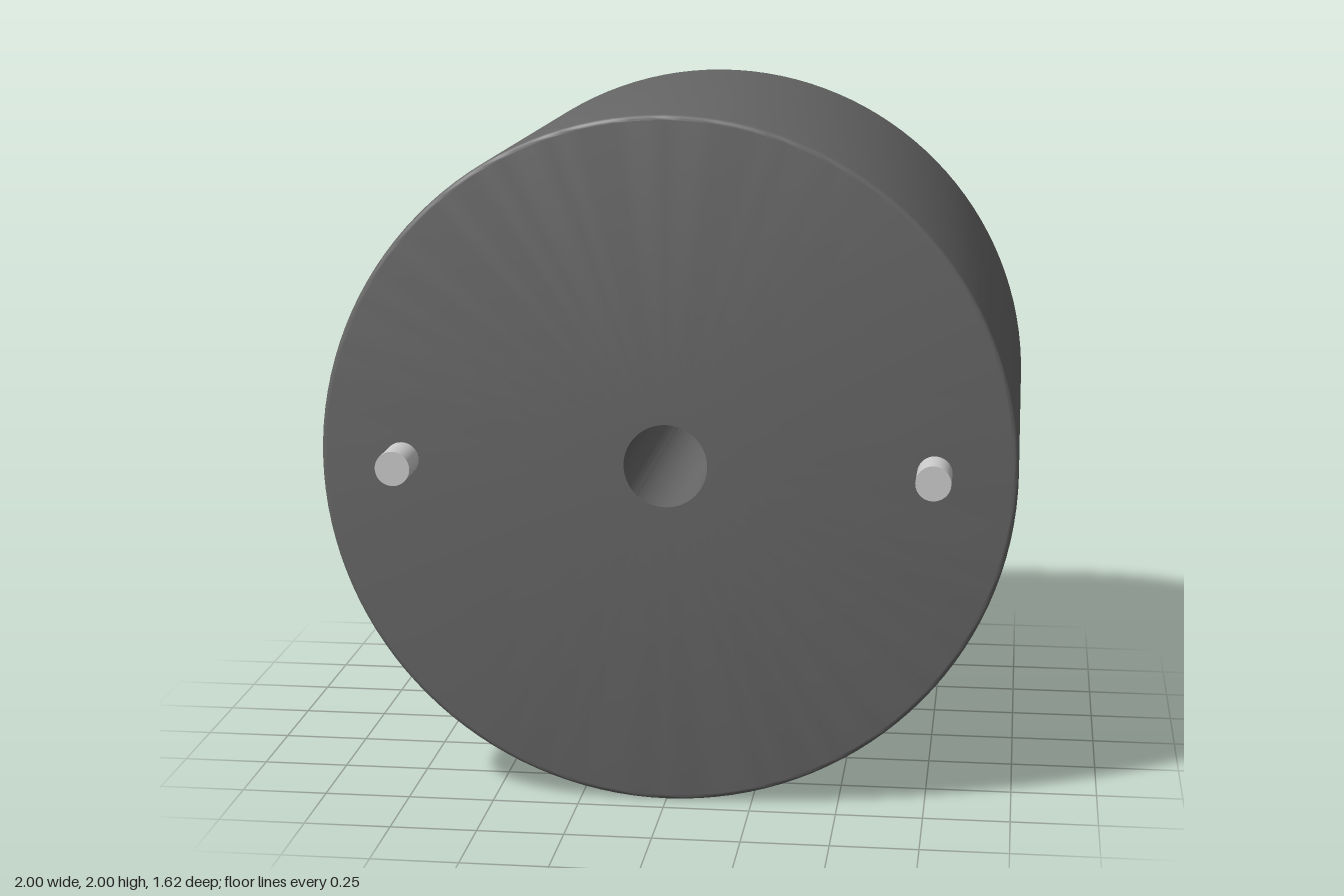
import * as THREE from 'three';
import { toCreasedNormals } from 'three/addons/utils/BufferGeometryUtils.js';

const BACK = -0.81, FRONT = 0.685, TIP = 0.81;
const RADIUS = 1, BORE = 0.12, FILLET = 0.015;

// Quarter-circle of profile points around (cx, cy), from angle a0 onwards
function fillet(cx, cy, a0, r = FILLET, steps = 4) {
  return Array.from({ length: steps + 1 }, (_, i) => {
    const a = a0 + (i / steps) * Math.PI / 2;
    return new THREE.Vector2(cx + r * Math.cos(a), cy + r * Math.sin(a));
  });
}

export function createModel() {
  const model = new THREE.Group();
  const darkGrey = new THREE.MeshStandardMaterial({ color: 0x666666 });
  const lightGrey = new THREE.MeshStandardMaterial({ color: 0xcccccc });

  // Drum with a through bore; rims rounded, bore rounded at the back
  const profile = [
    new THREE.Vector2(BORE, FRONT),
    ...fillet(BORE + FILLET, BACK + FILLET, Math.PI),
    ...fillet(RADIUS - FILLET, BACK + FILLET, -Math.PI / 2),
    ...fillet(RADIUS - FILLET, FRONT - FILLET, 0),
    new THREE.Vector2(BORE, FRONT),
  ];
  const drum = toCreasedNormals(new THREE.LatheGeometry(profile, 128), 0.5);
  const body = new THREE.Mesh(drum.rotateX(Math.PI / 2), darkGrey);
  body.name = 'body';
  body.position.y = RADIUS;
  model.add(body);

  // Two locating pins on the front face
  const embed = 0.02, length = TIP - FRONT + embed;
  const pinGeometry = new THREE.CylinderGeometry(0.05, 0.05, length, 48).rotateX(Math.PI / 2);
  for (const [name, side] of [['leftPin', 1], ['rightPin', -1]]) {
    const pin = new THREE.Mesh(pinGeometry, lightGrey);
    pin.name = name;
    pin.position.set(side * 0.765, RADIUS, TIP - length / 2);
    model.add(pin);
  }
  return model;
}
